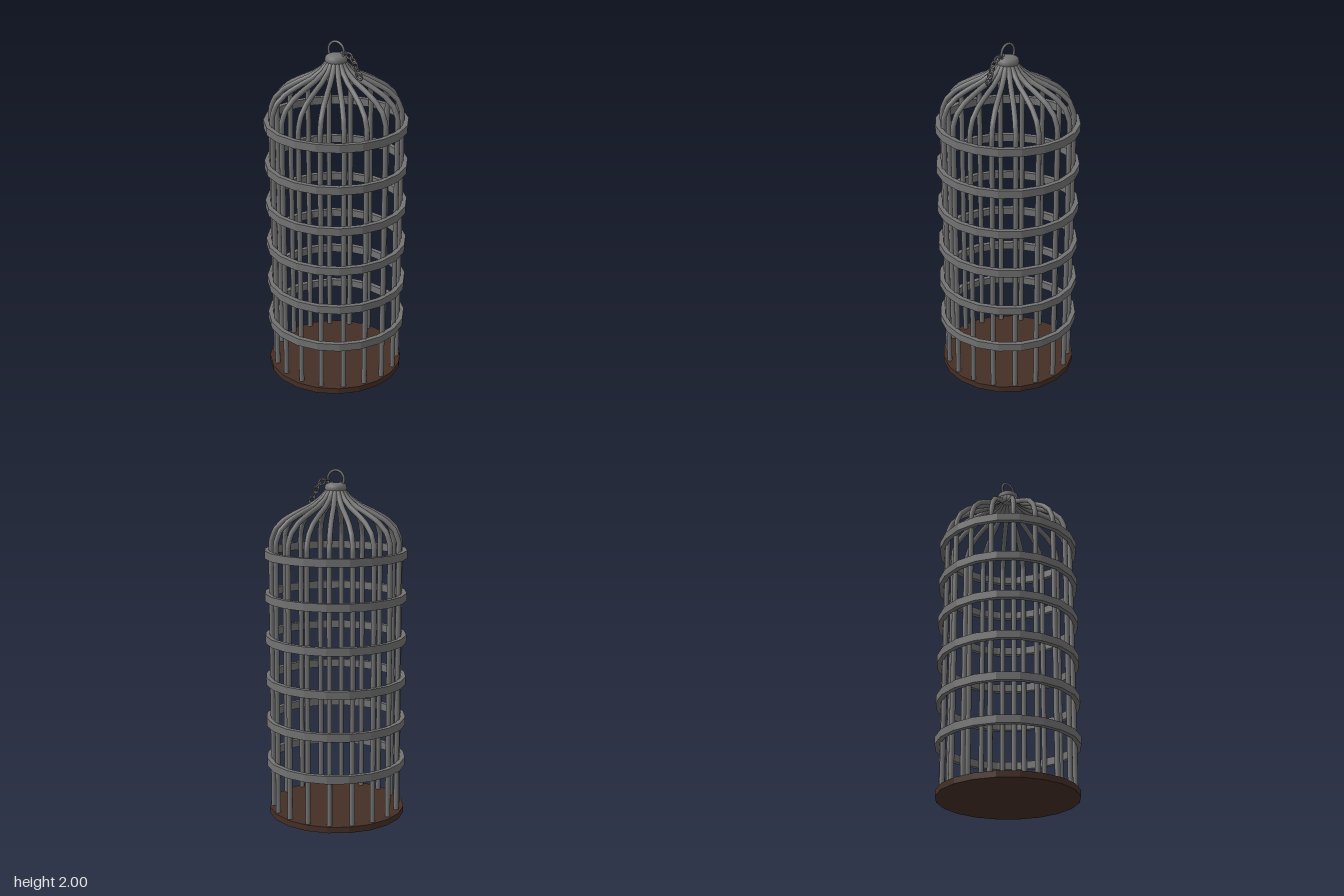
import * as THREE from 'three';

const iron = new THREE.MeshStandardMaterial({ color: 0x737373 });
iron.name = 'iron grey';
const wood = new THREE.MeshStandardMaterial({ color: 0x452f26 });
wood.name = 'dark brown';

function add(parent, name, geometry, material) {
  const mesh = new THREE.Mesh(geometry, material);
  mesh.name = name;
  parent.add(mesh);
  return mesh;
}

// Straight-sided hoop with a rectangular section and 20 sides
function hoopGeometry(inner, outer, height) {
  const h = height / 2;
  const section = [[inner, -h], [outer, -h], [outer, h], [inner, h], [inner, -h]];
  const geometry = new THREE.LatheGeometry(section.map(p => new THREE.Vector2(...p)), 20).toNonIndexed();
  geometry.computeVertexNormals();
  return geometry;
}

export function createModel() {
  const cage = new THREE.Group();
  cage.name = 'birdcage';

  // Floor
  const floorGeometry = new THREE.CylinderGeometry(0.395, 0.395, 0.035, 20).toNonIndexed();
  floorGeometry.computeVertexNormals();
  add(cage, 'floor', floorGeometry, wood).position.set(-0.004, 0.0175, 0.004);

  // Bars: a straight upright that bends into the domed roof
  const bend = [
    [0.365, 1.6], [0.342, 1.665], [0.285, 1.722], [0.212, 1.762],
    [0.138, 1.797], [0.078, 1.84], [0.04, 1.885],
  ].map(([r, y]) => new THREE.Vector3(0, y, r));
  const path = new THREE.CurvePath();
  path.add(new THREE.LineCurve3(new THREE.Vector3(0, 0.02, 0.365), bend[0]));
  for (let i = 0; i < bend.length - 1; i++) path.add(new THREE.LineCurve3(bend[i], bend[i + 1]));
  const barGeometry = new THREE.TubeGeometry(path, 60, 0.015, 10);
  const bars = new THREE.Group();
  bars.name = 'bars';
  cage.add(bars);
  for (let i = 0; i < 18; i++) {
    add(bars, 'bar', barGeometry, iron).rotation.y = (i * Math.PI) / 9;
  }

  // Hoops around the bars
  const hoop = hoopGeometry(0.377, 0.405, 0.045);
  for (let i = 0; i < 6; i++) add(cage, 'hoop', hoop, iron).position.y = 0.315 + i * 0.2425;

  // Rounded cap where the bars meet
  const capProfile = [
    [0, 1.865], [0.045, 1.867], [0.058, 1.876], [0.063, 1.892],
    [0.06, 1.908], [0.05, 1.918], [0.03, 1.926], [0, 1.927],
  ].map(p => new THREE.Vector2(...p));
  add(cage, 'cap', new THREE.LatheGeometry(capProfile, 24), iron);

  // Hanging ring
  add(cage, 'hangingRing', new THREE.TorusGeometry(0.05, 0.007, 8, 28), iron).position.y = 1.943;

  // Chain: oval links, turned by a quarter from one to the next
  const linkGeometry = new THREE.TorusGeometry(0.015, 0.0048, 8, 18);
  linkGeometry.scale(1.4, 1, 1);
  const chain = new THREE.Group();
  chain.name = 'chain';
  cage.add(chain);
  const links = [
    [0.056, 1.938, -0.1], [0.085, 1.926, -0.5], [0.108, 1.905, -0.85],
    [0.122, 1.88, -1.1], [0.136, 1.852, -1.1], [0.149, 1.824, -1.0],
  ];
  links.forEach(([x, y, tilt], i) => {
    const link = add(chain, 'chainLink', linkGeometry, iron);
    link.position.set(x, y, 0);
    link.rotation.order = 'ZXY';
    link.rotation.set(i % 2 ? 0 : Math.PI / 2, 0, tilt);
  });

  return cage;
}
